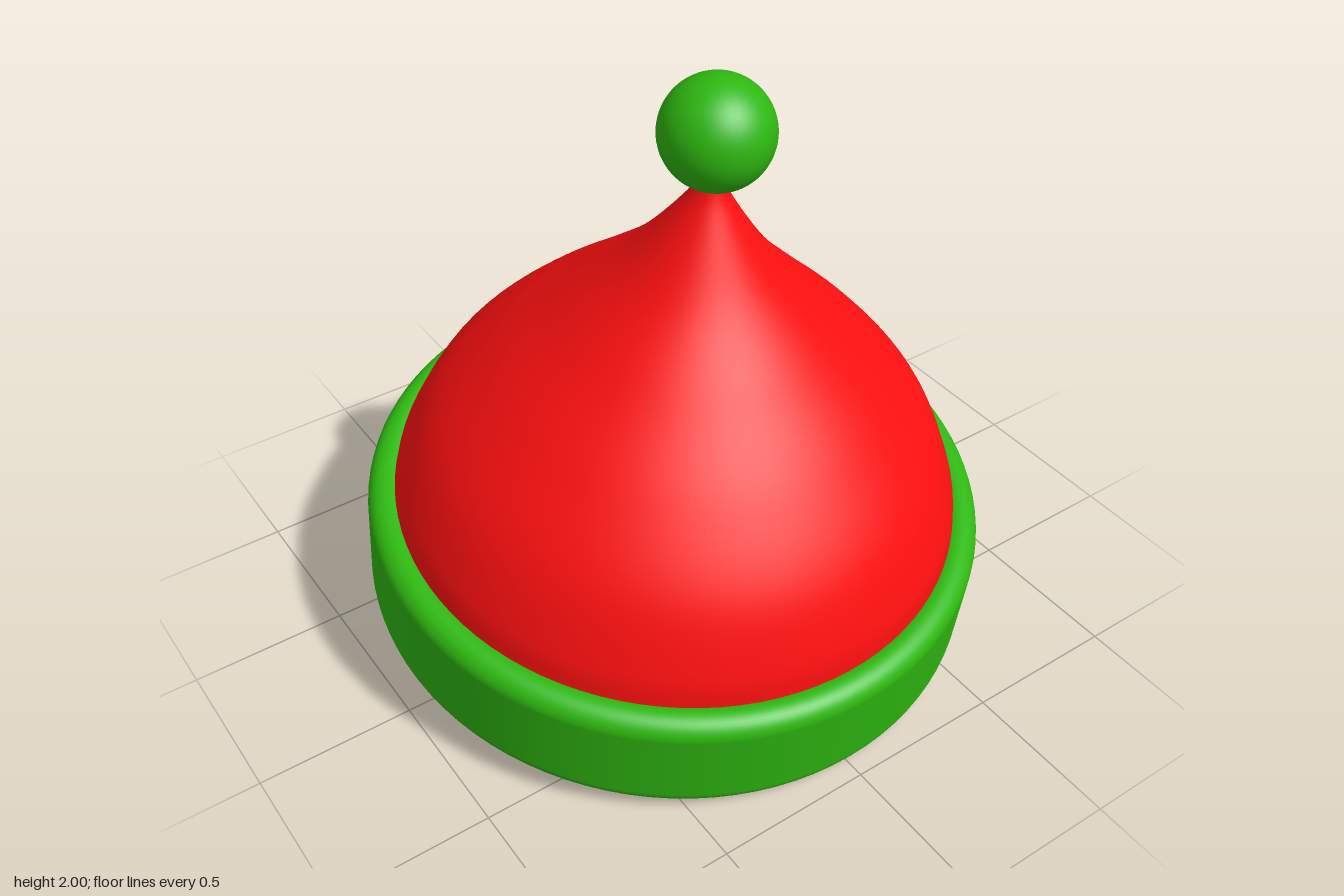
import * as THREE from 'three';

const RED = 0xff1010, GREEN = 0x2eb810;

function part(name, geometry, color, side = THREE.FrontSide) {
  const mesh = new THREE.Mesh(geometry, new THREE.MeshStandardMaterial({ color, side }));
  mesh.name = name;
  return mesh;
}

const points = (list) => list.map(([r, h]) => new THREE.Vector2(r, h));

export function createModel() {
  const model = new THREE.Group();
  model.name = 'hat';

  // Everything turns about one axis, which leans forward by 8 degrees
  const tilted = new THREE.Group();
  tilted.name = 'tiltedHat';
  tilted.position.y = 0.317;
  tilted.rotation.x = THREE.MathUtils.degToRad(8);
  model.add(tilted);

  // Brim: a ring with a rounded upright cross-section
  const half = 0.06, mid = 0.92, flat = 0.13;
  const section = new THREE.Path();
  section.absarc(mid, -flat, half, Math.PI, 2 * Math.PI);
  section.absarc(mid, flat, half, 0, Math.PI);
  section.lineTo(mid - half, -flat);
  tilted.add(part('brim', new THREE.LatheGeometry(section.getPoints(10), 96), GREEN));

  // Crown: bell-shaped, narrowing to a tip inside the pompom
  const curve = new THREE.SplineCurve(points([
    [0.905, 0.12], [0.895, 0.185], [0.87, 0.29], [0.775, 0.49], [0.61, 0.69],
    [0.41, 0.89], [0.22, 1.09], [0.075, 1.3], [0.03, 1.4], [0, 1.46],
  ]));
  tilted.add(part('crown', new THREE.LatheGeometry(curve.getPoints(60), 96), RED));

  // Lining: short inner wall and a flat ceiling
  const wall = new THREE.LatheGeometry(points([[0.87, 0.12], [0.865, 0.27]]), 96);
  tilted.add(part('liningWall', wall, RED, THREE.DoubleSide));
  const ceiling = part('liningCeiling', new THREE.CircleGeometry(0.865, 96), RED, THREE.DoubleSide);
  ceiling.rotation.x = Math.PI / 2;
  ceiling.position.y = 0.27;
  tilted.add(ceiling);

  // Pompom
  const pompom = part('pompom', new THREE.SphereGeometry(0.165, 48, 32), GREEN);
  pompom.position.y = 1.535;
  tilted.add(pompom);

  return model;
}
